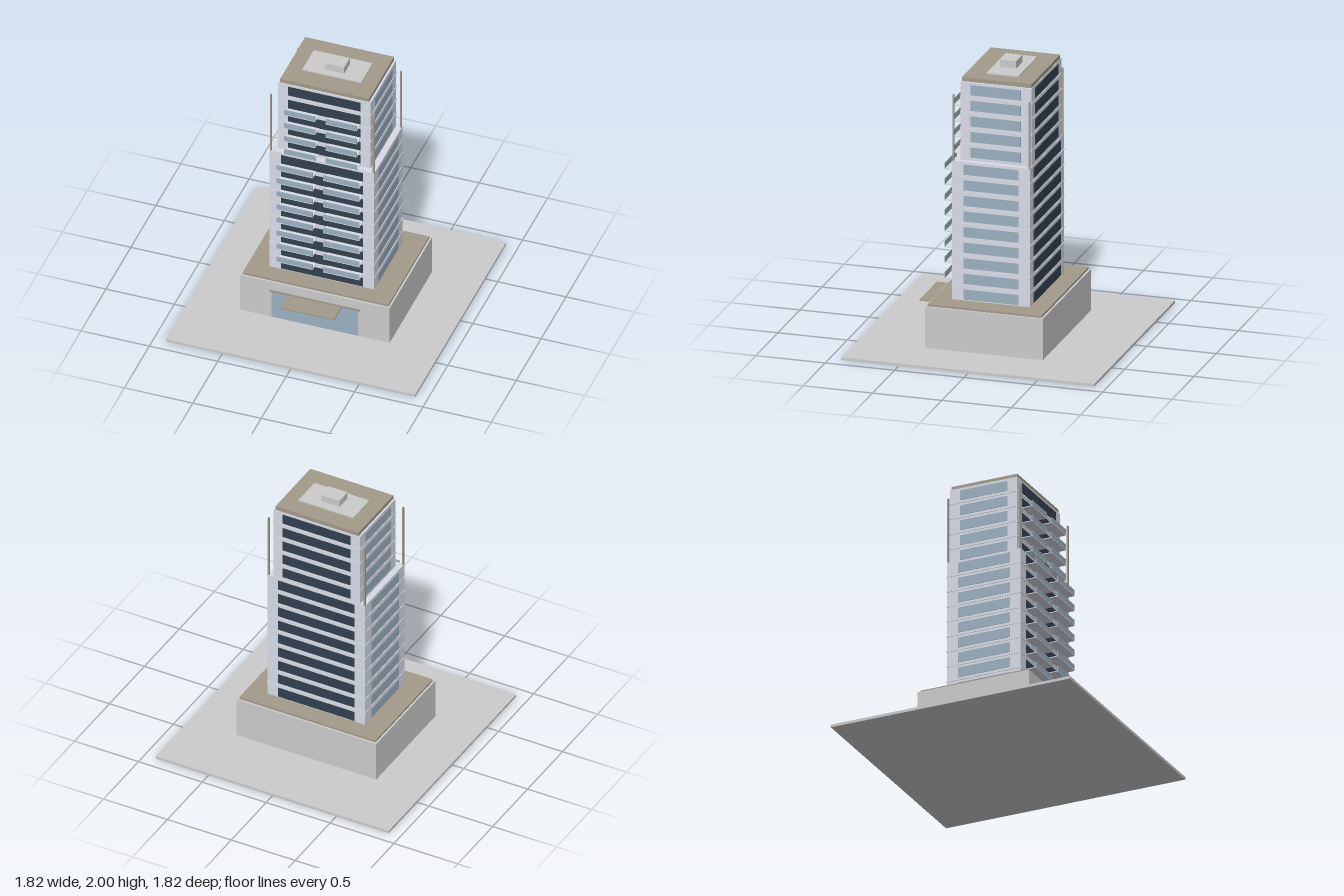
import * as THREE from 'three';

const mat = (color) => new THREE.MeshStandardMaterial({ color });

export function createModel() {
  const model = new THREE.Group();
  const stone = mat(0xcccccc), wall = mat(0xd8dce6), bronze = mat(0xa39b8b);
  const glass = mat(0x9bb0c1), darkGlass = mat(0x334050);

  // Box given by its limits on each axis
  const box = (name, material, [x0, x1], [y0, y1], [z0, z1], parent = model) => {
    const mesh = new THREE.Mesh(new THREE.BoxGeometry(x1 - x0, y1 - y0, z1 - z0), material);
    mesh.position.set((x0 + x1) / 2, (y0 + y1) / 2, (z0 + z1) / 2);
    mesh.name = name;
    parent.add(mesh);
    return mesh;
  };
  const sym = (h) => [-h, h];

  // Ground plate and podium
  box('groundPlate', stone, sym(0.912), [0, 0.02], sym(0.912));
  box('podium', stone, sym(0.547), [0.02, 0.32], sym(0.425));
  box('podiumRoof', bronze, sym(0.533), [0.32, 0.335], sym(0.41));

  // Entrance
  box('lobbyGlass', glass, sym(0.315), [0.021, 0.238], [0.41, 0.426]);
  box('entranceBeam', bronze, sym(0.33), [0.238, 0.252], [0.42, 0.432]);
  box('entranceCanopy', bronze, sym(0.195), [0.23, 0.24], [0.42, 0.575]);

  // One tower section: walls, floor bands, window strips, balconies
  const floorHeight = 0.1135;
  const towerSection = (name, s) => {
    const group = new THREE.Group();
    group.name = name;
    model.add(group);
    const top = s.base + s.floors * floorHeight;
    const [zb, zf] = s.z;
    box('walls', wall, sym(s.halfWidth), [s.base, top], s.z, group);
    for (let i = 0; i < s.floors; i++) {
      const y = s.base + i * floorHeight;
      const win = [y + 0.022, y + 0.095];
      if (i > 0) {
        box('floorBand', wall, sym(s.halfWidth + 0.004), [y, y + 0.008], [zb - 0.004, zf + 0.004], group);
      }
      box('frontWindow', darkGlass, sym(s.windowHalf), win, [zf - 0.01, zf + 0.004], group);
      box('backWindow', darkGlass, sym(s.windowHalf), win, [zb - 0.004, zb + 0.01], group);
      for (const side of [-1, 1]) {
        const x = side * s.halfWidth;
        box('sideWindow', glass, [x - 0.003, x + 0.003], win, s.sideWindow, group);
        if (i < s.balconyFrom || i > s.balconyTo) continue;
        const span = side < 0 ? [-s.windowHalf - 0.002, -0.038] : [0.038, s.windowHalf + 0.002];
        box('balconySlab', wall, span, [y + 0.018, y + 0.024], [zf, s.balconyZ], group);
        box('balconyRail', glass, span, [y + 0.024, y + 0.064], [s.balconyZ - 0.005, s.balconyZ], group);
      }
    }
    return top;
  };

  const terrace = towerSection('lowerTower', {
    base: 0.32, floors: 9, halfWidth: 0.382, z: [-0.281, 0.281], windowHalf: 0.3,
    sideWindow: [-0.197, 0.2], balconyFrom: 1, balconyTo: 8, balconyZ: 0.362,
  });
  const roof = towerSection('upperTower', {
    base: terrace, floors: 5, halfWidth: 0.339, z: [-0.277, 0.234], windowHalf: 0.264,
    sideWindow: [-0.2, 0.16], balconyFrom: 0, balconyTo: 3, balconyZ: 0.314,
  });

  // Terrace corner posts
  for (const x of [-0.376, 0.376]) {
    for (const z of [-0.274, 0.274]) {
      box('terracePost', bronze, [x - 0.006, x + 0.006], [terrace, 1.825], [z - 0.006, z + 0.006]);
    }
  }

  // Roof slab, plinth and plant room
  box('roofSlab', bronze, sym(0.325), [roof, 1.938], [-0.273, 0.228]);
  box('roofPlinth', stone, sym(0.215), [1.938, 1.947], [-0.144, 0.086]);
  box('plantRoom', stone, sym(0.072), [1.947, 2], [-0.081, 0.033]);

  return model;
}
